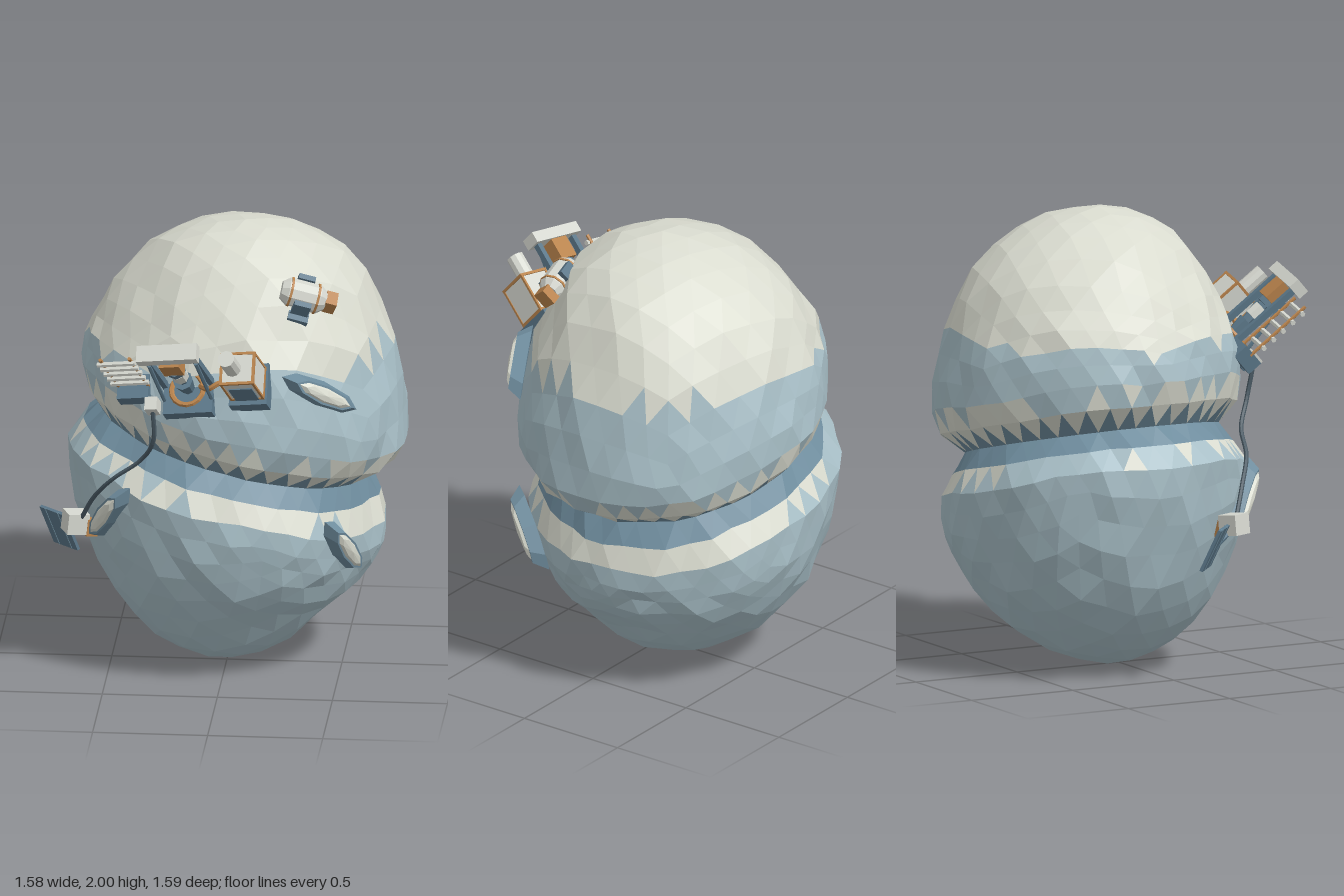
import * as THREE from 'three';

const mat = (name, color) => {
  const m = new THREE.MeshStandardMaterial({ color, flatShading: true });
  m.name = name;
  return m;
};
const ice = mat('blueIce', 0xa9c0c8), frost = mat('paleFrost', 0xdadcd0), deep = mat('deepIce', 0x6f8d9e);
const steel = mat('blueSteel', 0x5c788a), panel = mat('palePanel', 0xd6d8d0), copper = mat('copper', 0xb9834c);
const cableMat = mat('darkCable', 0x4a5a64);

const V = (x, y, z) => new THREE.Vector3(x, y, z);

function add(parent, name, geo, material, x = 0, y = 0, z = 0) {
  const m = new THREE.Mesh(geo, material);
  m.name = name;
  m.position.set(x, y, z);
  parent.add(m);
  return m;
}
const box = (w, h, d) => new THREE.BoxGeometry(w, h, d);
const cyl = (r, h, n = 8, r2 = r) => new THREE.CylinderGeometry(r, r2, h, n);
const tube = (pts, r, seg = 20) => new THREE.TubeGeometry(new THREE.CatmullRomCurve3(pts), seg, r, 6);

// Group whose local y points along n and local x lies close to xHint
function frame(parent, name, pos, n, xHint) {
  const g = new THREE.Group();
  const y = n.clone().normalize();
  const x = xHint.clone().addScaledVector(y, -xHint.dot(y)).normalize();
  g.quaternion.setFromRotationMatrix(new THREE.Matrix4().makeBasis(x, y, x.clone().cross(y)));
  g.position.copy(pos);
  g.name = name;
  parent.add(g);
  return g;
}

// Two-lobed body: faceted sphere pushed out to a waisted profile, waist tilted sideways
function makeBody() {
  const prof = [[0, 2], [0.21, 1.965], [0.4, 1.87], [0.57, 1.66], [0.665, 1.44], [0.705, 1.22], [0.69, 1.12], [0.575, 1],
    [0.63, 0.92], [0.685, 0.86], [0.69, 0.8], [0.65, 0.58], [0.48, 0.28], [0.28, 0.09], [0, 0]]
    .map(([r, y]) => [Math.atan2(y - 1, r), Math.hypot(r, y - 1)]);
  const radius = a => {
    let i = 1;
    while (i < prof.length - 1 && a < prof[i][0]) i++;
    const [a0, r0] = prof[i - 1], [a1, r1] = prof[i];
    return r0 + (r1 - r0) * THREE.MathUtils.clamp((a - a0) / (a1 - a0), 0, 1);
  };
  const hash = d => {
    const s = Math.sin(Math.round(d.x * 500) * 12.99 + Math.round(d.y * 500) * 78.23 + Math.round(d.z * 500) * 37.72) * 43758.5;
    return s - Math.floor(s) - 0.5;
  };
  const src = new THREE.IcosahedronGeometry(1, 7);
  src.rotateZ(Math.atan2(2, 1 + Math.sqrt(5)));
  const p = src.attributes.position, d = V(0, 0, 0);
  const buckets = [[], [], []];
  for (let f = 0; f < p.count; f += 3) {
    const tri = [], mid = V(0, 0, 0);
    let level = 0;
    for (let k = 0; k < 3; k++) {
      d.fromBufferAttribute(p, f + k).normalize();
      const flat = Math.hypot(d.x, d.z);
      const r = radius(Math.atan2(d.y, flat)) * (1 + 0.035 * hash(d) * Math.min(1, flat * 1.5));
      const py = 1 + d.y * r, rise = Math.abs(py - 1);
      const x = d.x * r + 0.03 + THREE.MathUtils.clamp((py - 1) * 0.2, -0.04, 0.045);
      const y = py - 0.25 * x * THREE.MathUtils.clamp((0.75 - rise) / 0.5, 0, 1);
      const z = d.z * r * (py < 1 ? 0.94 + 0.06 * rise : 0.94) - 0.12 + 0.06 * Math.max(0, rise - 0.75) * 4;
      tri.push(x, y, z);
      level += (py - 1) / 3;
      mid.add(V(x / 3, y / 3, z / 3));
    }
    // Frost cap and frost collars with ragged edges, dark ice in the waist
    const rag = hash(mid);
    let c = 0;
    if (level > -0.065 && level < 0.042 + 0.02 * rag) c = 2;
    else if (mid.y > 1.48 + 0.06 * rag || (level > -0.16 - 0.05 * mid.x + 0.08 * rag && level < 0.145 + 0.06 * rag)) c = 1;
    buckets[c].push(...tri);
  }
  const geo = new THREE.BufferGeometry();
  geo.setAttribute('position', new THREE.Float32BufferAttribute(buckets.flat(), 3));
  let start = 0;
  buckets.forEach((b, i) => { geo.addGroup(start, b.length / 3, i); start += b.length / 3; });
  geo.computeVertexNormals();
  return geo;
}

// Long faceted ice shard lying on the surface
function shard(parent, pos, n, dir) {
  const g = frame(parent, 'iceShard', pos, n, dir);
  add(g, 'shardRim', cyl(0.75, 1, 8, 1), deep).scale.set(0.2, 0.06, 0.055);
  add(g, 'shardCore', new THREE.SphereGeometry(1, 8, 4), frost, 0, 0.025, 0).scale.set(0.148, 0.025, 0.035);
}

// Drill, storage tank and ladder standing on the upper lobe
function makeRig(parent) {
  const rig = frame(parent, 'drillStation', V(-0.12, 1.36, 0.49), V(-0.2, 0.64, 0.74), V(1, 0, 0));

  const drill = new THREE.Group();
  drill.name = 'drillRig';
  rig.add(drill);
  add(drill, 'drillBase', box(0.22, 0.06, 0.17), steel, 0, 0, -0.01);
  for (const s of [-1, 1]) {
    add(drill, 'drillColumn', box(0.024, 0.37, 0.028), steel, s * 0.105, 0.19, -0.06);
    add(drill, 'columnBrace', cyl(0.009, 0.3, 6), steel, s * 0.105, 0.15, -0.015).rotation.x = -0.2;
  }
  add(drill, 'topBeam', box(0.27, 0.05, 0.075), panel, 0, 0.38, -0.06);
  add(drill, 'drillMotor', box(0.09, 0.1, 0.08), copper, 0, 0.305, -0.05);
  add(drill, 'drillCollar', cyl(0.042, 0.03), steel, 0, 0.245, -0.045);
  add(drill, 'drillShaft', cyl(0.026, 0.2), steel, 0, 0.14, -0.045);
  add(drill, 'drillSleeve', cyl(0.036, 0.06), panel, 0, 0.185, -0.045);
  add(drill, 'drillBit', cyl(0.045, 0.09, 8, 0.03), steel, 0, 0.08, -0.04);
  add(drill, 'drillRing', new THREE.TorusGeometry(0.072, 0.012, 6, 16), copper, 0, 0.045, -0.03).rotation.x = Math.PI / 2;
  add(drill, 'feedPipe', tube([V(0.06, 0.05, -0.04), V(0.11, 0.09, -0.01), V(0.16, 0.1, -0.03), V(0.23, 0.08, -0.05)], 0.013), copper);

  const tank = new THREE.Group();
  tank.name = 'storageTank';
  tank.position.set(0.27, -0.005, -0.045);
  rig.add(tank);
  add(tank, 'tankBase', box(0.17, 0.07, 0.19), steel);
  add(tank, 'tankBody', box(0.145, 0.21, 0.14), panel, 0, 0.12, 0);
  add(tank, 'tankDoor', box(0.105, 0.13, 0.009), steel, 0, 0.1, 0.071);
  add(tank, 'tankBand', box(0.153, 0.014, 0.148), copper, 0, 0.045, 0);
  for (const s of [-1, 1]) {
    add(tank, 'tankTopEdge', box(0.155, 0.012, 0.012), copper, 0, 0.222, s * 0.069);
    add(tank, 'tankSideEdge', box(0.012, 0.012, 0.148), copper, s * 0.072, 0.222, 0);
    for (const t of [-1, 1]) add(tank, 'tankCorner', box(0.01, 0.18, 0.01), copper, s * 0.071, 0.13, t * 0.069);
  }
  add(tank, 'tankStack', cyl(0.038, 0.12, 10), panel, -0.02, 0.28, 0);

  const ladder = new THREE.Group();
  ladder.name = 'ladder';
  ladder.position.set(-0.25, 0, -0.06);
  rig.add(ladder);
  add(ladder, 'ladderBase', box(0.14, 0.07, 0.11), steel);
  for (const s of [-1, 1]) add(ladder, 'ladderRail', cyl(0.008, 0.32, 6), copper, s * 0.065, 0.18, -0.006);
  for (let i = 0; i < 5; i++) add(ladder, 'ladderRung', cyl(0.012, 0.17, 6), panel, 0, 0.085 + i * 0.056, 0.004).rotation.z = Math.PI / 2;

  add(rig, 'junctionBox', box(0.055, 0.07, 0.06), panel, -0.16, 0.02, 0.03);
}

// Barrel-shaped motor on the upper shoulder
function makeMotor(parent) {
  const g = frame(parent, 'shoulderMotor', V(0.355, 1.78, 0.285), V(0.3, 0.75, 0.6), V(1, -0.25, -0.1));
  const barrel = (name, r, len, m, x, r2) => { add(g, name, cyl(r, len, 10, r2), m, x, 0, 0).rotation.z = -Math.PI / 2; };
  barrel('motorBarrel', 0.063, 0.14, panel, 0);
  barrel('motorCapEnd', 0.04, 0.03, panel, 0.085, 0.063);
  barrel('motorCapStart', 0.063, 0.03, panel, -0.085, 0.04);
  for (const x of [-0.06, 0.06]) barrel('motorBand', 0.067, 0.01, copper, x);
  add(g, 'motorGearbox', box(0.05, 0.075, 0.065), copper, 0.122, 0, 0);
  add(g, 'motorMount', box(0.09, 0.06, 0.16), steel, 0, -0.06, 0);
  for (const s of [-1, 1]) {
    add(g, 'motorFoot', box(0.09, 0.03, 0.05), steel, 0, -0.05, s * 0.085);
    add(g, 'motorBracket', box(0.075, 0.1, 0.025), steel, 0, -0.01, s * 0.07);
  }
}

// Powered sensor with a panel on the lower flank
function makeSensor(parent) {
  const g = new THREE.Group();
  g.name = 'sensorUnit';
  parent.add(g);
  const s = frame(g, 'sensorHousing', V(-0.64, 0.69, 0.22), V(-0.85, 0.1, 0.35), V(0.35, 0, 0.85));
  add(s, 'sensorBox', box(0.095, 0.095, 0.09), panel);
  add(s, 'sensorBase', box(0.08, 0.05, 0.075), copper, 0.01, -0.065, 0.015);
  add(g, 'panelArm', tube([V(-0.64, 0.66, 0.2), V(-0.67, 0.63, 0.14), V(-0.715, 0.61, 0.08)], 0.012, 6), steel);
  const p = frame(g, 'solarPanel', V(-0.72, 0.61, 0.08), V(-0.62, -0.42, 0.66), V(0.7, 0, 0.66));
  add(p, 'panelSheet', box(0.155, 0.014, 0.2), steel);
  for (const x of [-0.04, 0.04]) add(p, 'panelStrip', box(0.005, 0.018, 0.2), deep, x, 0, 0);
}

export function createModel() {
  const model = new THREE.Group();
  model.name = 'iceBodyStation';
  add(model, 'twoLobedBody', makeBody(), [ice, frost, deep]);
  shard(model, V(0.45, 1.38, 0.43), V(0.5, 0.12, 0.83), V(0.29, -0.18, -0.14));
  shard(model, V(0.54, 0.64, 0.32), V(0.78, -0.2, 0.6), V(0.12, -0.31, -0.26));
  shard(model, V(-0.49, 0.775, 0.35), V(-0.7, -0.1, 0.7), V(0.18, 0.31, 0.22));
  makeRig(model);
  makeMotor(model);
  makeSensor(model);
  // Cable running across the waist from the drill to the sensor
  add(model, 'powerCable', tube([V(-0.28, 1.34, 0.52), V(-0.28, 1.16, 0.48), V(-0.34, 1.05, 0.42),
    V(-0.46, 0.95, 0.38), V(-0.55, 0.84, 0.31), V(-0.61, 0.72, 0.25)], 0.01, 32), cableMat);
  return model;
}
